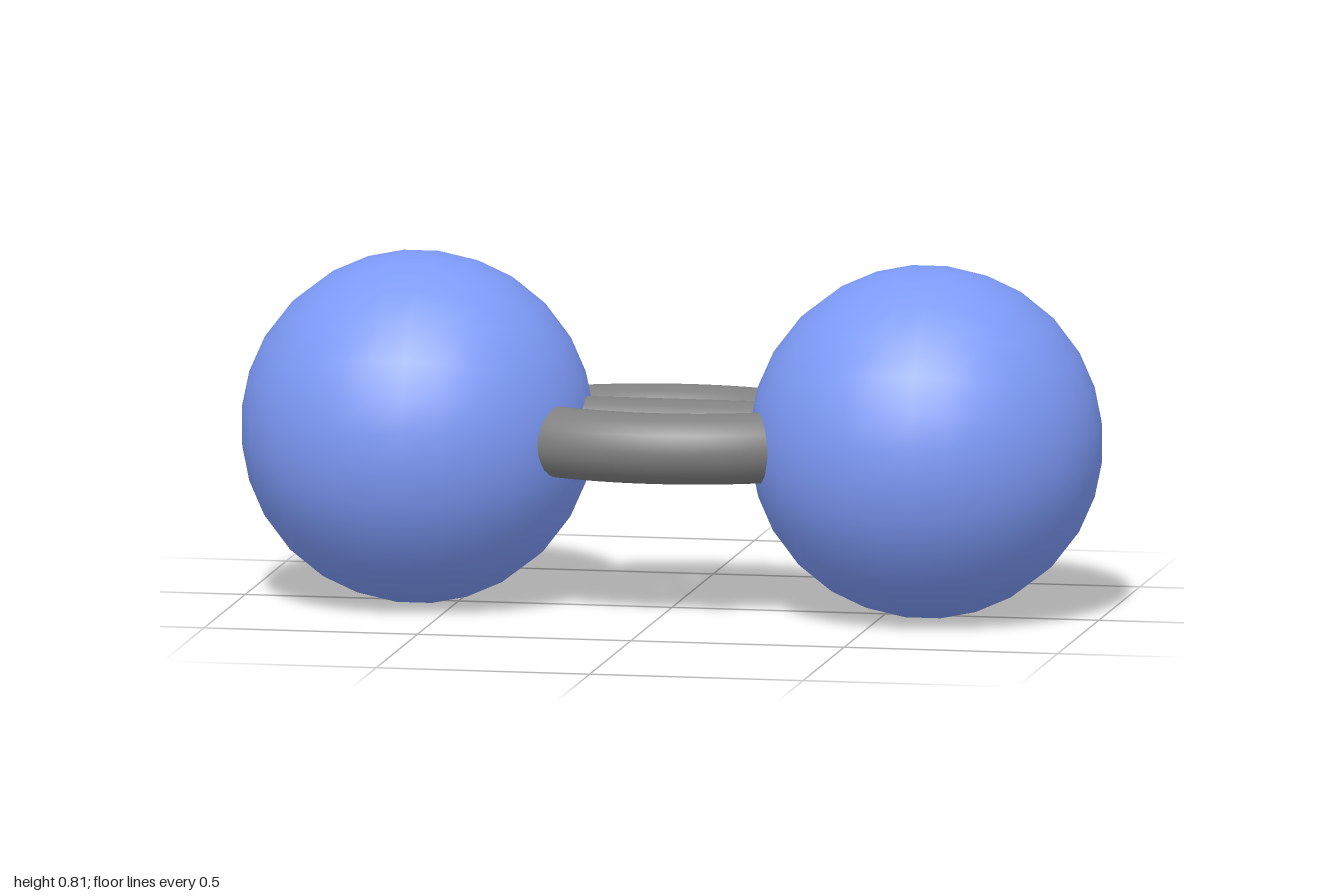
import * as THREE from 'three';

const BALL_R = 0.408, BALL_X = 0.596, MID_Y = 0.404;
const ROD_R = 0.082, ARC_R = 0.53, ARC_PEAK = 0.218;

// Cube grid mapped evenly onto a sphere
function cubeSphere(radius, segments) {
  const geo = new THREE.BoxGeometry(2, 2, 2, segments, segments, segments);
  const pos = geo.attributes.position, nor = geo.attributes.normal;
  const v = new THREE.Vector3();
  const map = (a, b, c) => a * Math.sqrt(1 - b * b / 2 - c * c / 2 + b * b * c * c / 3);
  for (let i = 0; i < pos.count; i++) {
    const x = pos.getX(i), y = pos.getY(i), z = pos.getZ(i);
    v.set(map(x, y, z), map(y, z, x), map(z, x, y)).normalize();
    nor.setXYZ(i, v.x, v.y, v.z);
    pos.setXYZ(i, v.x * radius, v.y * radius, v.z * radius);
  }
  return geo;
}

export function createModel() {
  const group = new THREE.Group();
  const blue = new THREE.MeshStandardMaterial({ color: 0x7d9af8 });
  const grey = new THREE.MeshStandardMaterial({ color: 0x808080 });
  const add = (name, geo, mat, x, z) => {
    const mesh = new THREE.Mesh(geo, mat);
    mesh.name = name;
    mesh.position.set(x, MID_Y, z);
    group.add(mesh);
    return mesh;
  };

  // Two balls
  const ball = cubeSphere(BALL_R, 7);
  add('leftBall', ball, blue, BALL_X, 0);
  add('rightBall', ball, blue, -BALL_X, 0);

  // Straight middle rod, ends buried in the balls
  const rod = new THREE.CylinderGeometry(ROD_R, ROD_R, 0.86, 24);
  add('middleRod', rod, grey, 0, 0).rotation.z = Math.PI / 2;

  // Bowed rods at front and back, bending until they meet the axis inside the balls
  const half = Math.acos((ARC_R - ARC_PEAK) / ARC_R);
  const bow = new THREE.TorusGeometry(ARC_R, ROD_R, 24, 32, half * 2);
  bow.rotateZ(Math.PI / 2 - half).rotateX(Math.PI / 2);
  const offset = ARC_PEAK - ARC_R;
  add('frontRod', bow, grey, 0, offset);
  add('backRod', bow, grey, 0, -offset).rotation.y = Math.PI;

  return group;
}
